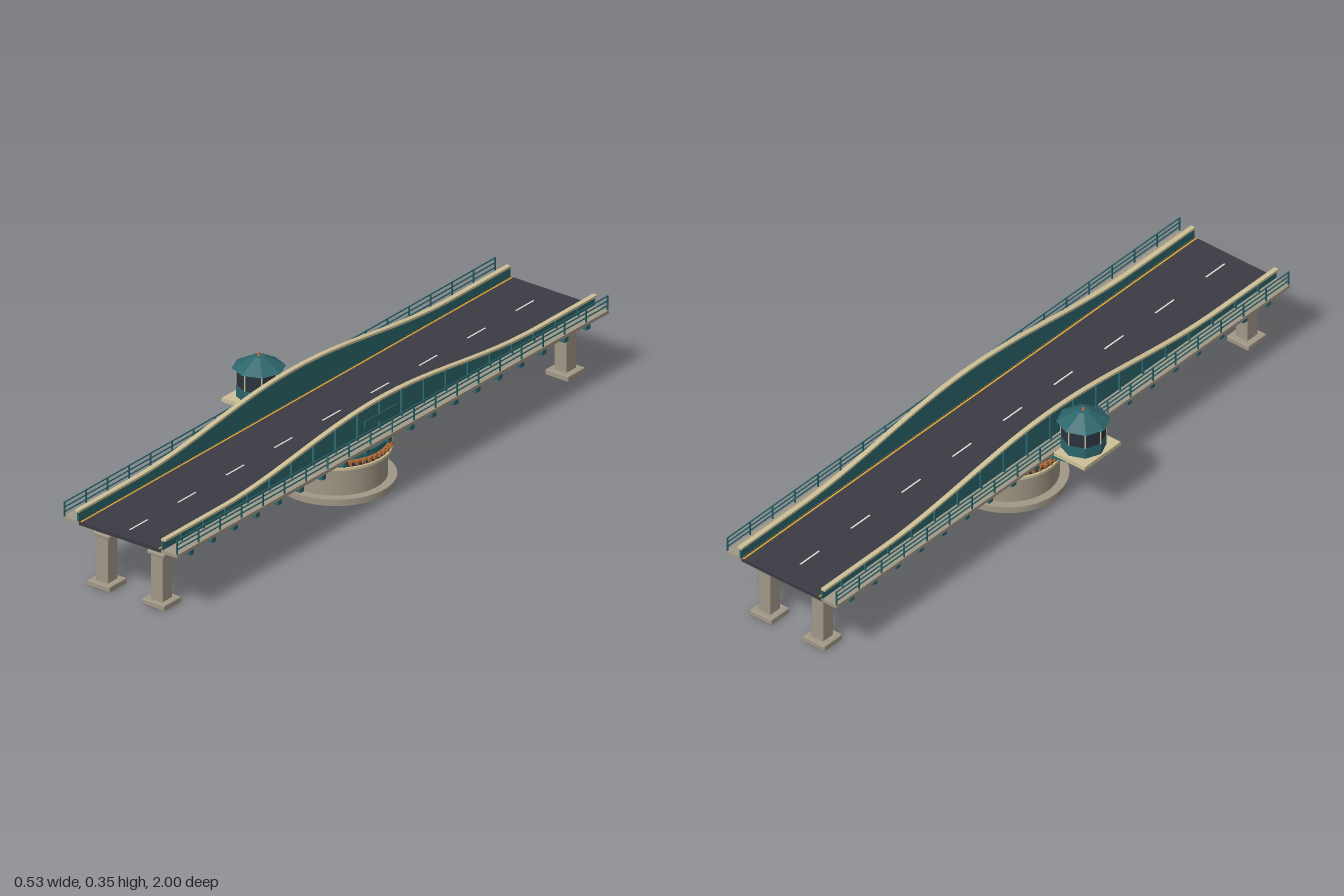
import * as THREE from 'three';
import { RoundedBoxGeometry } from 'three/addons/geometries/RoundedBoxGeometry.js';

const mat = (name, color, extra = {}) => Object.assign(new THREE.MeshStandardMaterial({ color, ...extra }), { name });

export function createModel() {
  const teal = mat('teal paint', 0x2b666c);
  const stone = mat('stone', 0xa09786);
  const cream = mat('cream trim', 0xcdc097);
  const asphalt = mat('asphalt', 0x3c3a42);
  const steel = mat('dark steel', 0x36353b);
  const glass = mat('dark glass', 0x2a333f);
  const copper = mat('copper', 0xb06a38);
  const yellow = mat('yellow line', 0xdcaa32);
  const white = mat('white line', 0xe0ded6);

  const model = new THREE.Group();
  const C = 0.06; // bridge centre line in x

  function add(name, geometry, material, x = 0, y = 0, z = 0, parent = model) {
    const mesh = new THREE.Mesh(geometry, material);
    mesh.name = name;
    mesh.position.set(x, y, z);
    parent.add(mesh);
    return mesh;
  }
  // box given by its width, height, depth and the height of its bottom
  const box = (name, m, w, h, d, x, y0, z, parent) =>
    add(name, new THREE.BoxGeometry(w, h, d), m, x, y0 + h / 2, z, parent);
  const block = (name, m, w, h, d, x, y0, z, parent) =>
    add(name, new RoundedBoxGeometry(w, h, d, 1, 0.003), m, x, y0 + h / 2, z, parent);
  const drum = (name, m, r, y0, y1, seg = 64) =>
    add(name, new THREE.CylinderGeometry(r, r, y1 - y0, seg), m, C, (y0 + y1) / 2, 0);

  // Pivot pier with its turning gear
  drum('pivotBase', stone, 0.174, 0, 0.02);
  drum('pivotDrum', stone, 0.147, 0.02, 0.104);
  drum('pivotCap', cream, 0.161, 0.104, 0.112);
  drum('bearingRing', steel, 0.154, 0.112, 0.122);
  drum('gearRing', copper, 0.154, 0.122, 0.13);
  drum('turntable', teal, 0.148, 0.13, 0.147);
  const gear = new THREE.Group();
  gear.name = 'gearTeeth';
  gear.position.set(C, 0, 0);
  model.add(gear);
  for (let i = 0; i < 48; i++) {
    const a = (i / 48) * Math.PI * 2;
    const tooth = box('gearTooth', copper, 0.01, 0.012, 0.009, Math.cos(a) * 0.157, 0.118, Math.sin(a) * 0.157, gear);
    tooth.rotation.y = -a;
  }

  // End piers and the hub beams above the turntable
  for (const s of [-1, 1]) {
    const x = C + s * 0.098;
    box('hubBeam', steel, 0.044, 0.03, 0.34, x, 0.146, 0);
    for (const e of [-1, 1]) {
      const z = e * 0.935;
      const pier = new THREE.Group();
      pier.name = 'endPier';
      model.add(pier);
      block('pierFoot', stone, 0.082, 0.018, 0.08, x, 0, z, pier);
      block('pierShaft', stone, 0.044, 0.146, 0.046, x, 0.016, z, pier);
      block('pierCap', stone, 0.061, 0.011, 0.058, x, 0.159, z, pier);
      box('pierBearing', steel, 0.042, 0.007, 0.04, x, 0.17, z, pier);
    }
  }

  // Road deck with markings
  box('road', asphalt, 0.294, 0.011, 2, C, 0.198, 0);
  for (let i = -4; i <= 4; i++) {
    box('laneDash', white, 0.005, 0.001, 0.083, C, 0.209, 0.02 + i * 0.2235);
  }
  for (let i = -9; i <= 9; i++) {
    box('floorBeam', teal, 0.389, 0.023, 0.018, C, 0.175, i * 0.102);
  }

  // Arched girder outline: flat ends with a smooth rise in the middle
  const top = (z) => 0.243 + 0.061 * (Math.abs(z) < 0.74 ? 0.5 + 0.5 * Math.cos((Math.PI * z) / 0.74) : 0);
  function archPlate(low, high, depth) {
    const n = 64;
    const pts = [];
    for (let i = 0; i <= n; i++) pts.push(new THREE.Vector2(-1 + (2 * i) / n, low(-1 + (2 * i) / n)));
    for (let i = n; i >= 0; i--) pts.push(new THREE.Vector2(-1 + (2 * i) / n, high(-1 + (2 * i) / n)));
    const g = new THREE.ExtrudeGeometry(new THREE.Shape(pts), { depth, bevelEnabled: false });
    return g.translate(0, 0, -depth / 2).rotateY(-Math.PI / 2);
  }
  const web = archPlate(() => 0.198, (z) => top(z) - 0.007, 0.005);
  const flange = archPlate((z) => top(z) - 0.007, top, 0.015);
  const rivet = new THREE.SphereGeometry(0.002, 6, 4);

  for (const s of [-1, 1]) {
    // Sidewalk and edge line
    box('sidewalk', stone, 0.058, 0.01, 2, C + s * 0.176, 0.198, 0);
    box('edgeLine', yellow, 0.005, 0.001, 2, C + s * 0.14, 0.209, 0);

    // Girder web, flange, stiffeners and rivets
    add('girderWeb', web, teal, C + s * 0.151);
    add('girderFlange', flange, cream, C + s * 0.1545);
    for (let i = -9; i <= 9; i++) {
      const z = i * 0.102;
      box('stiffener', teal, 0.007, top(z) - 0.211, 0.006, C + s * 0.156, 0.206, z);
    }
    for (let i = -19; i <= 19; i++) {
      const z = i * 0.051;
      add('rivet', rivet, copper, C + s * 0.162, top(z) - 0.0035, z);
    }

    // Railing
    const railing = new THREE.Group();
    railing.name = 'railing';
    model.add(railing);
    const rx = C + s * 0.2015;
    for (let i = 0; i <= 20; i++) {
      box('railPost', teal, 0.004, 0.046, 0.004, rx, 0.208, -0.997 + i * 0.0997, railing);
    }
    for (const y of [0.221, 0.236, 0.251]) {
      box('rail', teal, 0.003, 0.003, 2, rx, y, 0, railing);
    }
  }
  box('girderPlaque', teal, 0.003, 0.022, 0.15, C + 0.1605, 0.236, 0);

  // Control cabin on its bracketed platform
  const cabin = new THREE.Group();
  cabin.name = 'controlCabin';
  cabin.position.set(-0.187, 0, 0.038);
  model.add(cabin);
  const octagon = (name, m, r0, r1, y0, y1) => {
    const g = new THREE.CylinderGeometry(r1, r0, y1 - y0, 8).toNonIndexed();
    g.computeVertexNormals();
    return add(name, g, m, 0, (y0 + y1) / 2, 0, cabin);
  };
  box('platform', cream, 0.136, 0.012, 0.16, -0.003, 0.195, 0, cabin);
  octagon('cabinWall', teal, 0.0655, 0.0655, 0.207, 0.242);
  octagon('cabinWindows', glass, 0.0645, 0.0645, 0.242, 0.291);
  octagon('cabinTrim', cream, 0.067, 0.067, 0.291, 0.296);
  octagon('cabinRoof', teal, 0.0777, 0.017, 0.296, 0.331);
  add('finial', new THREE.ConeGeometry(0.006, 0.017, 8), copper, 0, 0.339, 0, cabin);
  for (let i = 0; i < 8; i++) {
    const a = (i / 8) * Math.PI * 2;
    const post = box('cabinMullion', cream, 0.004, 0.05, 0.004, Math.cos(a) * 0.0638, 0.242, Math.sin(a) * 0.0638, cabin);
    post.rotation.y = -a;
  }
  for (const s of [-1, 1]) {
    const brace = add('platformBrace', new THREE.BoxGeometry(0.169, 0.006, 0.008), teal, 0.029, 0.173, s * 0.055, cabin);
    brace.rotation.z = -0.227;
  }

  return model;
}
